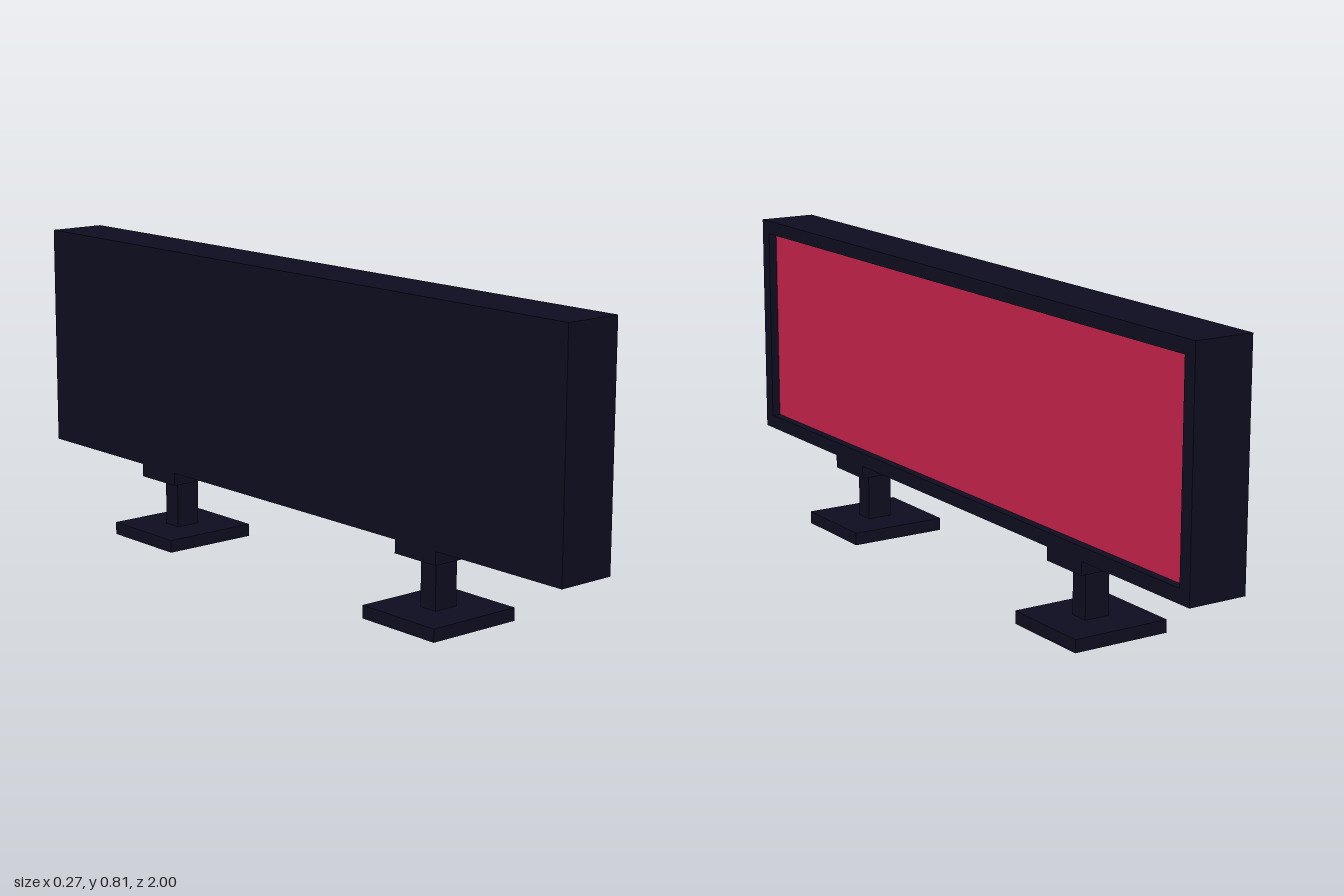
import * as THREE from 'three';

export function createModel() {
  const model = new THREE.Group();
  model.name = 'displayBoard';

  const dark = new THREE.MeshStandardMaterial({ color: 0x0d0d20 });
  dark.name = 'dark navy';
  const red = new THREE.MeshStandardMaterial({ color: 0xc9234d });
  red.name = 'crimson';

  // Box given by its size and the position of its centre
  const box = (parent, name, material, size, position) => {
    const mesh = new THREE.Mesh(new THREE.BoxGeometry(...size), material);
    mesh.name = name;
    mesh.position.set(...position);
    parent.add(mesh);
  };

  const halfDepth = 0.08, bottom = 0.202, top = 0.81, border = 0.037, recess = 0.027;
  const height = top - bottom, middle = (top + bottom) / 2;

  // Solid cabinet behind the recessed screen
  box(model, 'cabinet', dark, [2 * halfDepth - recess, height, 2], [-recess / 2, middle, 0]);

  // Raised bezel around the screen, facing +x
  const outline = new THREE.Shape([[-1, bottom], [1, bottom], [1, top], [-1, top]]
    .map(([x, y]) => new THREE.Vector2(x, y)));
  const w = 1 - border, lo = bottom + border, hi = top - border;
  outline.holes.push(new THREE.Path([[-w, lo], [-w, hi], [w, hi], [w, lo]]
    .map(([x, y]) => new THREE.Vector2(x, y))));
  const bezel = new THREE.Mesh(
    new THREE.ExtrudeGeometry(outline, { depth: recess, bevelEnabled: false }), dark);
  bezel.name = 'bezel';
  bezel.rotation.y = Math.PI / 2;
  bezel.position.x = halfDepth - recess;
  model.add(bezel);

  // Screen panel set inside the bezel
  box(model, 'screen', red, [0.004, hi - lo, 2 * w], [halfDepth - recess + 0.002, middle, 0]);

  // Two stands: foot plate, post and mounting bracket
  for (const side of [1, -1]) {
    const stand = new THREE.Group();
    stand.name = side > 0 ? 'frontStand' : 'backStand';
    stand.position.z = side * 0.516;
    box(stand, 'footPlate', dark, [0.27, 0.034, 0.254], [0, 0.017, 0]);
    box(stand, 'post', dark, [0.07, 0.133, 0.053], [0, 0.1005, 0]);
    box(stand, 'bracket', dark, [0.16, 0.035, 0.144], [0, 0.1845, 0]);
    model.add(stand);
  }

  return model;
}
